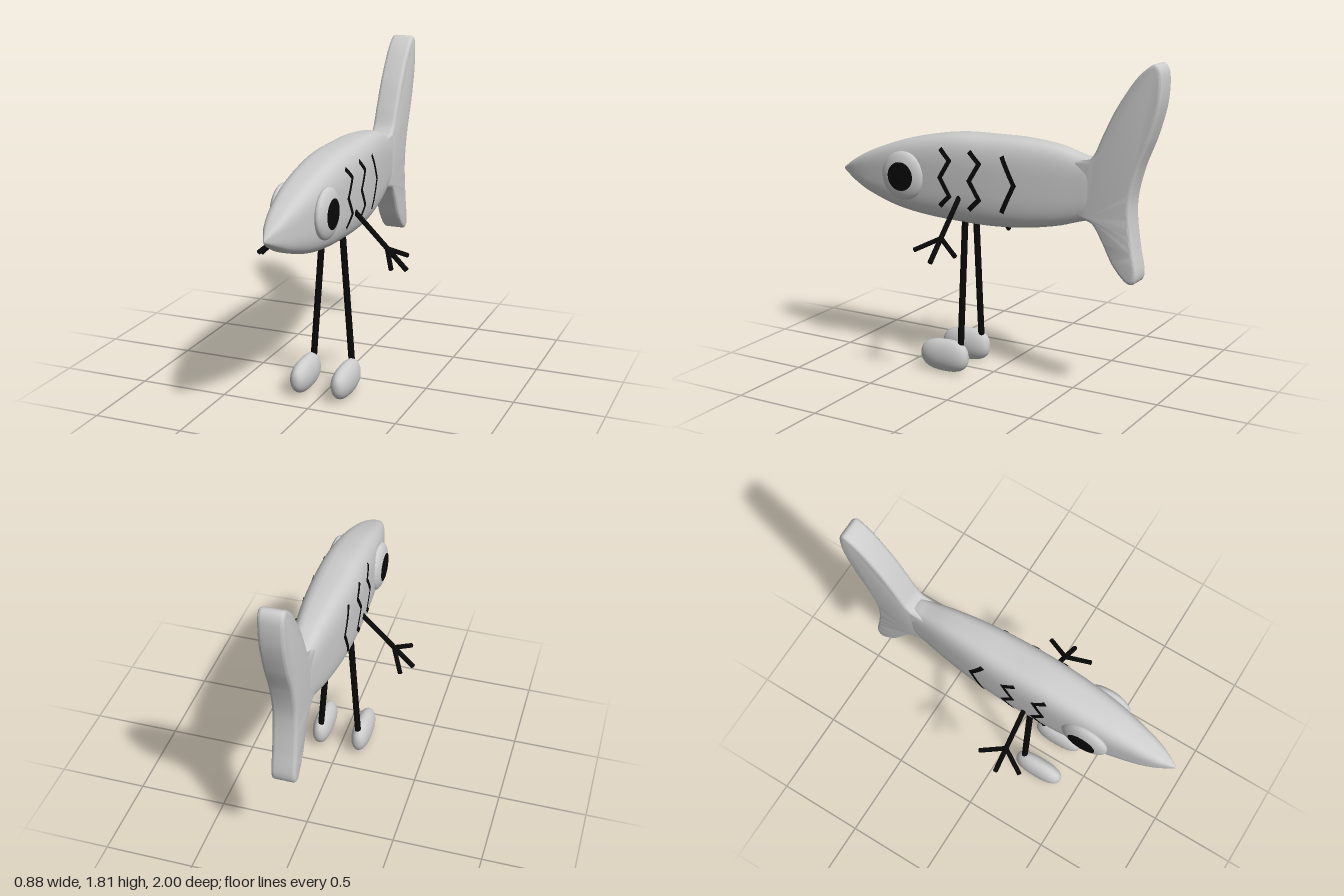
import * as THREE from 'three';
import { mergeGeometries, toCreasedNormals } from 'three/addons/utils/BufferGeometryUtils.js';

const skin = new THREE.MeshStandardMaterial({ color: 0xcccccc });
skin.name = 'pale grey skin';
const black = new THREE.MeshStandardMaterial({ color: 0x080808, side: THREE.DoubleSide });
black.name = 'black';

// body sections: z, top, bottom, half width
const SECTIONS = [
  [1, 1.085, 1.07, 0.004], [0.95, 1.122, 1.04, 0.03], [0.9, 1.153, 1.012, 0.052], [0.8, 1.205, 0.965, 0.08],
  [0.6, 1.28, 0.905, 0.115], [0.4, 1.33, 0.876, 0.131], [0.2, 1.36, 0.865, 0.137], [0, 1.365, 0.862, 0.135],
  [-0.2, 1.365, 0.875, 0.122], [-0.4, 1.345, 0.908, 0.098], [-0.55, 1.305, 0.952, 0.075],
  [-0.62, 1.29, 0.97, 0.064], [-0.66, 1.25, 1.0, 0.05],
];
const POWER = 3.2;

// smooth interpolation of the sections at z
function section(z) {
  const S = SECTIONS, last = S.length - 1;
  let i = 0;
  while (i < last - 1 && z < S[i + 1][0]) i++;
  const a = S[i], b = S[i + 1], h = b[0] - a[0], t = (z - a[0]) / h;
  const slope = (j, k) => {
    const p = S[Math.max(j - 1, 0)], n = S[Math.min(j + 1, last)];
    return (n[k] - p[k]) / (n[0] - p[0]);
  };
  return [1, 2, 3].map(k =>
    (1 + 2 * t) * (1 - t) ** 2 * a[k] + t * (1 - t) ** 2 * h * slope(i, k) +
    t * t * (3 - 2 * t) * b[k] + t * t * (t - 1) * h * slope(i + 1, k));
}

// half width of the body surface at a given z, y
function bodyX(z, y) {
  const [top, bottom, w] = section(z);
  const v = Math.min(Math.abs((y - (top + bottom) / 2) / ((top - bottom) / 2)), 1);
  return w * (1 - v ** POWER) ** (1 / POWER);
}

const bend = (v, p) => Math.sign(v) * Math.abs(v) ** p;

function bodyGeometry() {
  const rows = 60, sides = 56, pos = [], index = [];
  for (let r = 0; r <= rows; r++) {
    const z = 1 - 1.66 * (r / rows) ** 1.2;
    const [top, bottom, w] = section(z);
    for (let s = 0; s < sides; s++) {
      const a = (s / sides) * Math.PI * 2;
      pos.push(w * bend(Math.cos(a), 2 / POWER), (top + bottom) / 2 + ((top - bottom) / 2) * bend(Math.sin(a), 2 / POWER), z);
      if (r < rows) {
        const p = r * sides + s, q = r * sides + (s + 1) % sides;
        index.push(p, p + sides, q, q, p + sides, q + sides);
      }
    }
  }
  // close the nose and the rear
  pos.push(0, 1.077, 1.001, 0, 1.12, -0.66);
  const nose = (rows + 1) * sides, end = rows * sides;
  for (let s = 0; s < sides; s++) {
    const n = (s + 1) % sides;
    index.push(nose, s, n, nose + 1, end + n, end + s);
  }
  const g = new THREE.BufferGeometry();
  g.setAttribute('position', new THREE.Float32BufferAttribute(pos, 3));
  g.setIndex(index);
  g.computeVertexNormals();
  return g;
}

// forked tail, drawn in z, y and extruded across x
function tailGeometry() {
  const outline = [
    [-0.6, 1.292], [-0.635, 1.335], [-0.68, 1.435], [-0.75, 1.575], [-0.85, 1.725], [-0.925, 1.797], [-0.97, 1.808],
    [-0.996, 1.75], [-0.99, 1.61], [-0.945, 1.44], [-0.88, 1.27], [-0.843, 1.12], [-0.84, 1.0], [-0.86, 0.85],
    [-0.885, 0.715], [-0.868, 0.66], [-0.82, 0.664], [-0.745, 0.745], [-0.68, 0.865], [-0.63, 0.945], [-0.59, 0.966],
  ].map(([z, y]) => new THREE.Vector2(-z, y));
  const shape = new THREE.Shape();
  shape.moveTo(0.5, 1.28);
  shape.lineTo(outline[0].x, outline[0].y);
  shape.splineThru(outline.slice(1));
  shape.lineTo(0.5, 0.99);
  const bevel = 0.02;
  const g = new THREE.ExtrudeGeometry(shape, {
    depth: 0.134 - 2 * bevel, curveSegments: 70, bevelEnabled: true,
    bevelThickness: bevel, bevelSize: bevel, bevelOffset: -bevel, bevelSegments: 5,
  });
  g.translate(0, 0, -0.067 + bevel);
  g.rotateY(Math.PI / 2);
  return toCreasedNormals(g, 0.7);
}

// round rod between two points
function rod(a, b, radius) {
  const A = new THREE.Vector3(...a), B = new THREE.Vector3(...b), d = B.clone().sub(A);
  const g = new THREE.CylinderGeometry(radius, radius, d.length(), 12);
  g.applyQuaternion(new THREE.Quaternion().setFromUnitVectors(new THREE.Vector3(0, 1, 0), d.normalize()));
  const m = A.add(B).multiplyScalar(0.5);
  return g.translate(m.x, m.y, m.z);
}

// thin painted zigzag following the flank
function stripeGeometry(points, side) {
  const width = 0.026, parts = [];
  for (let i = 0; i < points.length - 1; i++) {
    const [z0, y0] = points[i], [z1, y1] = points[i + 1];
    const g = new THREE.PlaneGeometry(Math.hypot(z1 - z0, y1 - y0) + width * 0.7, width, 10, 2);
    g.rotateZ(Math.atan2(y1 - y0, z1 - z0));
    const p = g.attributes.position;
    for (let k = 0; k < p.count; k++) {
      const z = p.getX(k) + (z0 + z1) / 2, y = p.getY(k) + (y0 + y1) / 2;
      p.setXYZ(k, side * (bodyX(z, y) + 0.004), y, z);
    }
    // keep faces outward on each side
    if (side > 0) g.index.array.reverse();
    g.computeVertexNormals();
    parts.push(g);
  }
  return mergeGeometries(parts);
}

// rounded foot, lower toward the toe
function footGeometry(side) {
  const g = new THREE.SphereGeometry(1, 36, 28);
  const p = g.attributes.position;
  for (let i = 0; i < p.count; i++) {
    const x = p.getX(i), y = p.getY(i), z = p.getZ(i);
    const f = 1 / (Math.abs(Math.hypot(x, y)) ** 2.6 + Math.abs(z) ** 2.6) ** (1 / 2.6);
    const toe = y > 0 ? 1 - 0.1 * z * f : 1;
    p.setXYZ(i, side * 0.12 + x * f * 0.056, 0.095 + y * f * 0.094 * toe, 0.25 + z * f * 0.15);
  }
  g.computeVertexNormals();
  return g;
}

export function createModel() {
  const model = new THREE.Group();
  const add = (name, geometry, material) => {
    const mesh = new THREE.Mesh(geometry, material);
    mesh.name = name;
    model.add(mesh);
    return mesh;
  };
  add('body', bodyGeometry(), skin);
  add('tail', tailGeometry(), skin);

  const zigzag = z => [[z + 0.06, 1.277], [z, 1.222], [z + 0.06, 1.123], [z, 1.025], [z + 0.06, 0.966]];
  const stripes = [zigzag(0.202), zigzag(0.015), [[-0.122, 1.267], [-0.193, 1.123], [-0.122, 0.974]]];

  for (const side of [1, -1]) {
    const tag = side > 0 ? 'left' : 'right';
    // eye with a flush pupil
    const ball = new THREE.SphereGeometry(1, 40, 28);
    const cap = new THREE.SphereGeometry(1.015, 40, 8, 0, Math.PI * 2, 0, Math.asin(0.08 / 0.138));
    for (const [name, g, mat] of [['Eye', ball, skin], ['Pupil', cap, black]]) {
      g.scale(0.138, 0.044, 0.138).rotateZ(-side * Math.PI / 2).translate(side * 0.122, 1.105, 0.512);
      add(tag + name, g, mat);
    }
    stripes.forEach((s, i) => add(`${tag}Stripe${i + 1}`, stripeGeometry(s, side), black));

    // arm with three fingers
    const wrist = [side * 0.315, 0.835, 0.145];
    add(tag + 'Arm', mergeGeometries([
      rod([side * 0.11, 1.04, 0.145], [side * 0.428, 0.725, 0.145], 0.014),
      rod(wrist, [side * 0.385, 0.768, 0.275], 0.013),
      rod(wrist, [side * 0.385, 0.768, 0.015], 0.013),
    ]), black);
    add(tag + 'Leg', rod([side * 0.058, 0.9, 0.148], [side * 0.115, 0.15, 0.148], 0.018), black);
    add(tag + 'Foot', footGeometry(side), skin);
  }
  return model;
}
